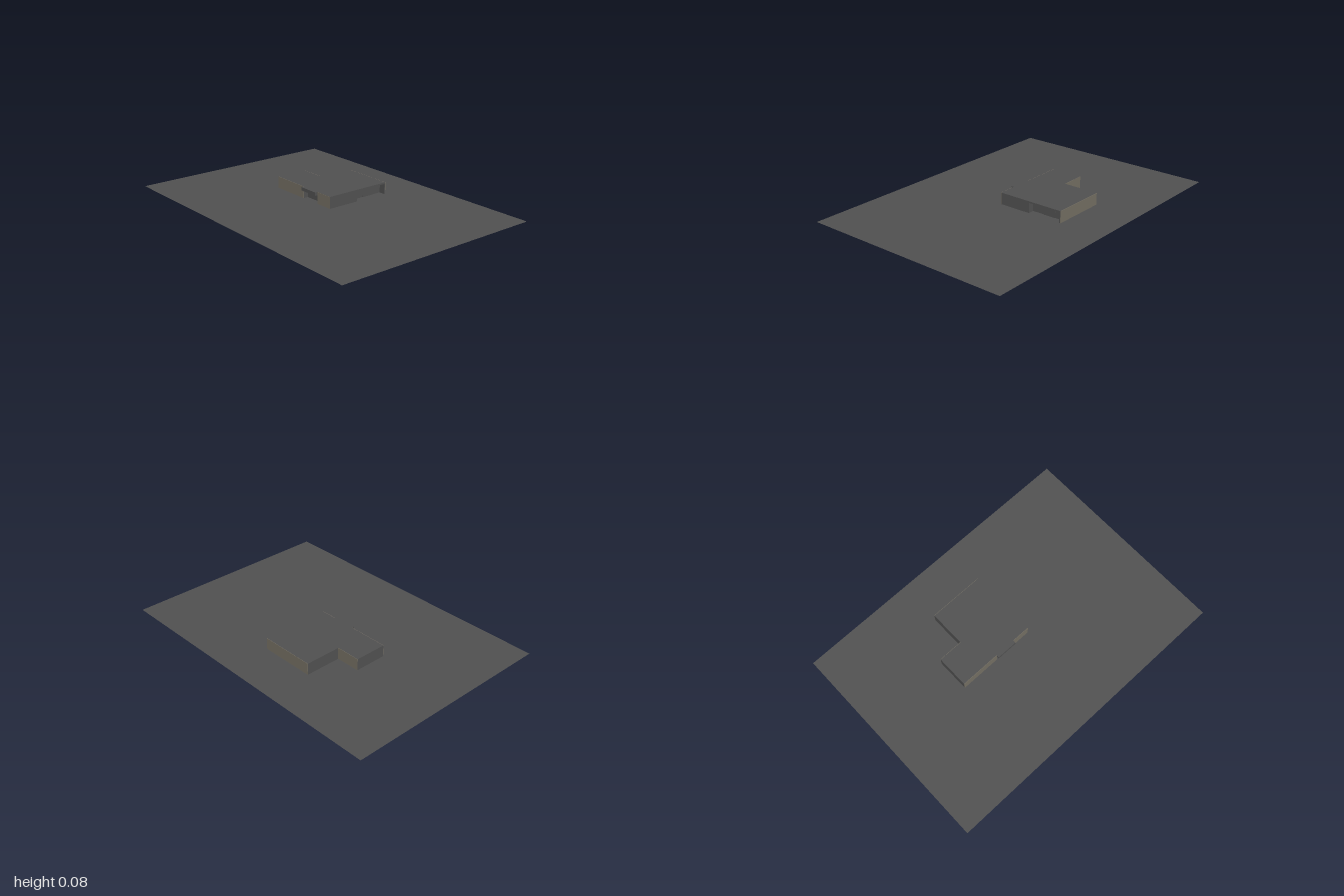
import * as THREE from 'three';

export function createModel() {
  const grey = new THREE.MeshStandardMaterial({ color: 0x505050 });
  grey.name = 'dark grey';
  const ground = new THREE.MeshStandardMaterial({ color: 0x505050, side: THREE.DoubleSide });
  ground.name = 'ground grey';
  const stone = new THREE.MeshStandardMaterial({ color: 0x736e62 });
  stone.name = 'warm stone';

  const model = new THREE.Group();
  const site = new THREE.Group();
  site.name = 'site';
  site.rotation.y = 0.036;
  model.add(site);

  const add = (name, geometry, material) => {
    const mesh = new THREE.Mesh(geometry, material);
    mesh.name = name;
    site.add(mesh);
    return mesh;
  };
  // box given by its limits on each axis
  const box = (name, material, x0, x1, y0, y1, z0, z1) =>
    add(name, new THREE.BoxGeometry(x1 - x0, y1 - y0, z1 - z0), material)
      .position.set((x0 + x1) / 2, (y0 + y1) / 2, (z0 + z1) / 2);

  // flat plot
  add('plot', new THREE.PlaneGeometry(1.95, 1.38).rotateX(-Math.PI / 2), ground);

  // house volumes below the roof slab
  const eave = 0.065, top = 0.075;
  box('wing', grey, -0.413, -0.152, 0, eave, -0.16, 0.046);
  box('mainBlock', grey, -0.255, 0.061, 0, eave, -0.395, 0.015);
  box('frontBlock', grey, -0.017, 0.102, 0, eave, -0.165, 0.046);
  box('recessBackWall', grey, 0.061, 0.102, 0, eave, -0.395, -0.388);
  box('sideDoor', grey, 0.061, 0.064, 0, 0.05, -0.328, -0.243);
  box('porchCanopy', grey, -0.152, -0.017, 0.054, eave, 0.01, 0.065);

  // roof slab following the plan, with the porch projection
  const plan = [
    [-0.255, -0.395], [0.102, -0.395], [0.102, 0.046], [-0.017, 0.046], [-0.017, 0.065],
    [-0.152, 0.065], [-0.152, 0.046], [-0.413, 0.046], [-0.413, -0.16], [-0.255, -0.16],
  ];
  const roof = new THREE.Shape(plan.map(([x, z]) => new THREE.Vector2(x, -z)));
  add('roof', new THREE.ExtrudeGeometry(roof, { depth: top - eave, bevelEnabled: false })
    .rotateX(-Math.PI / 2), grey).position.y = eave;

  // stone facing on the front and back walls
  const t = 0.002;
  box('frontWingFacing', stone, -0.413, -0.152, 0, top, 0.046, 0.046 + t);
  box('frontBlockFacing', stone, -0.017, 0.102, 0, top, 0.046, 0.046 + t);
  box('backMainFacing', stone, -0.255, 0.102, 0, top, -0.395 - t, -0.395);
  box('backWingFacing', stone, -0.413, -0.255, 0, top, -0.16 - t, -0.16);

  return model;
}
